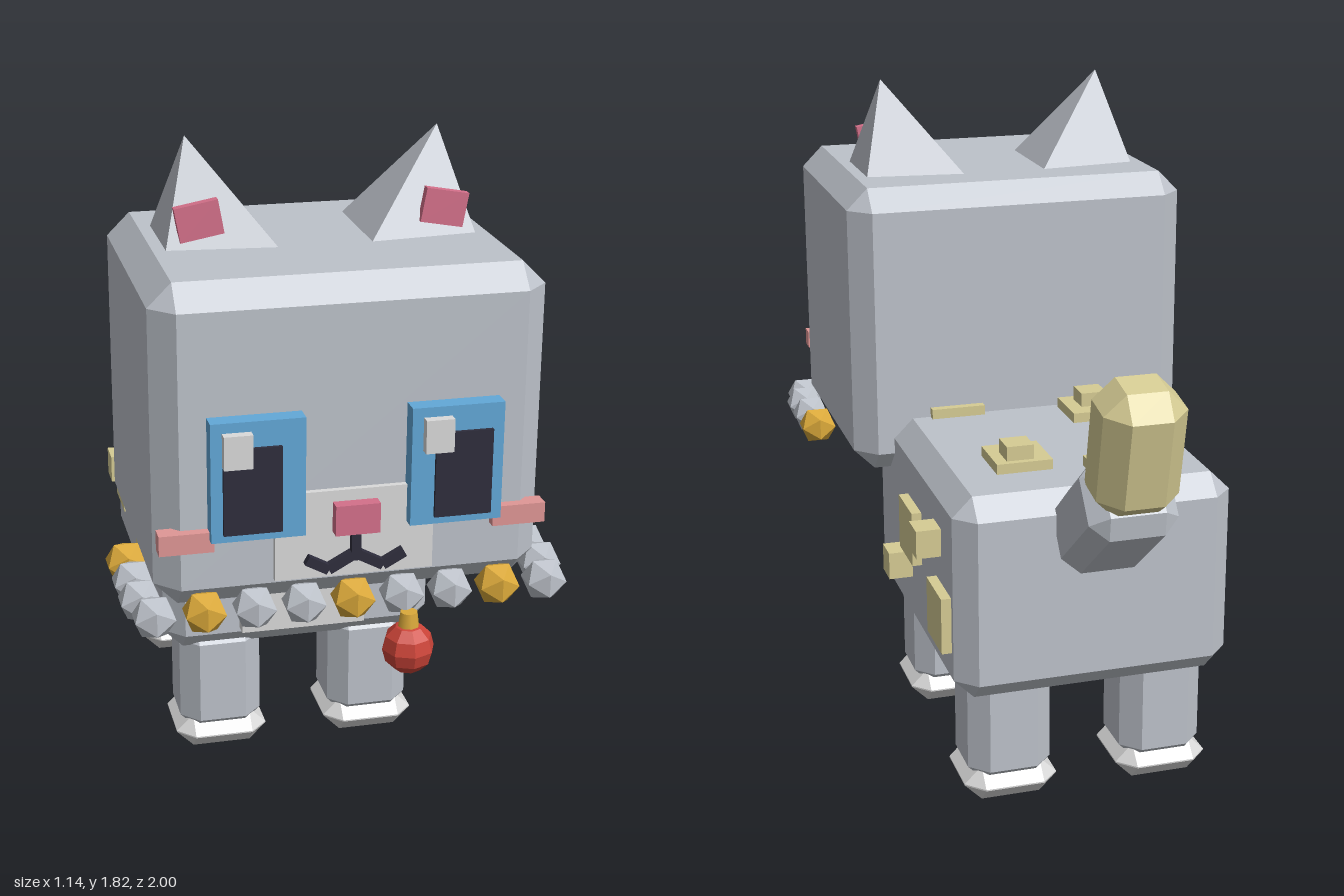
import * as THREE from 'three';
import { ConvexGeometry } from 'three/addons/geometries/ConvexGeometry.js';

const mat = (name, color) => {
  const m = new THREE.MeshStandardMaterial({ color });
  m.name = name;
  return m;
};

// Box with flat bevelled edges and corners
function bevelBox(w, h, d, c) {
  const pts = [];
  const x = w / 2, y = h / 2, z = d / 2;
  for (const i of [-1, 1]) for (const j of [-1, 1]) for (const k of [-1, 1]) {
    pts.push(new THREE.Vector3(i * x, j * (y - c), k * (z - c)));
    pts.push(new THREE.Vector3(i * (x - c), j * y, k * (z - c)));
    pts.push(new THREE.Vector3(i * (x - c), j * (y - c), k * z));
  }
  return new ConvexGeometry(pts);
}

export function createModel() {
  const group = new THREE.Group();
  group.name = 'cat';
  const grey = mat('grey fur', 0xbdc2ca);
  const white = mat('pale fur', 0xdadada);
  const tan = mat('tan spots', 0xd6cc94);
  const pink = mat('pink', 0xd4708a);
  const blush = mat('blush', 0xe09796);
  const blue = mat('eye blue', 0x62a8d8);
  const black = mat('black', 0x2e2d3c);
  const gold = mat('gold', 0xdba93a);
  const red = mat('bell red', 0xcc4438);

  const add = (name, geo, material, x, y, z) => {
    const m = new THREE.Mesh(geo, material);
    m.name = name;
    m.position.set(x, y, z);
    group.add(m);
    return m;
  };
  // Plain box given by its min and max on each axis
  const span = (name, material, x0, x1, y0, y1, z0, z1) =>
    add(name, new THREE.BoxGeometry(x1 - x0, y1 - y0, z1 - z0), material,
      (x0 + x1) / 2, (y0 + y1) / 2, (z0 + z1) / 2);

  // Body, chest and head
  add('body', bevelBox(0.765, 0.57, 0.935, 0.055), grey, 0, 0.615, -0.152);
  span('chest', white, -0.175, 0.175, 0.4, 0.8, 0.29, 0.355);
  add('head', bevelBox(0.98, 0.825, 0.785, 0.06), grey, 0, 1.152, 0.477);

  // Legs and paws
  for (const s of [-1, 1]) for (const z of [0.167, -0.447]) {
    add('leg', bevelBox(0.232, 0.34, 0.232, 0.05), grey, s * 0.217, 0.215, z);
    add('paw', bevelBox(0.26, 0.1, 0.26, 0.048), white, s * 0.217, 0.05, z);
  }

  // Tail in two angled segments
  add('tailBase', bevelBox(0.235, 0.37, 0.215, 0.045), grey, 0, 0.876, -0.729).rotation.x = -0.9;
  add('tailTip', bevelBox(0.215, 0.345, 0.2, 0.055), tan, 0, 1.11, -0.879).rotation.x = -0.2;

  // Ears: pyramids leaning outward, with pink plates in front
  for (const s of [-1, 1]) {
    const ear = [[0.4, 1.555, 0.29], [0.4, 1.555, 0.545], [0.113, 1.555, 0.573],
      [0.113, 1.555, 0.257], [0.326, 1.822, 0.417]];
    add('ear', new ConvexGeometry(ear.map(p => new THREE.Vector3(s * p[0], p[1], p[2]))), grey, 0, 0, 0);
    add('innerEar', new THREE.BoxGeometry(0.112, 0.088, 0.025), pink, s * 0.314, 1.635, 0.533)
      .rotation.z = -s * 0.18;
  }

  // Eyes and cheeks
  for (const s of [-1, 1]) {
    const x = s * 0.247;
    span('eye', blue, x - 0.116, x + 0.116, 0.94, 1.245, 0.86, 0.917);
    span('pupil', black, s * 0.262 - 0.072, s * 0.262 + 0.072, 0.96, 1.18, 0.9, 0.926);
    span('eyeHighlight', white, x - 0.088, x - 0.017, 1.135, 1.22, 0.9, 0.942);
    span('cheek', blush, s * 0.419 - 0.068, s * 0.419 + 0.068, 0.908, 0.96, 0.85, 0.895);
  }

  // Muzzle, nose and mouth
  span('muzzle', white, -0.2, 0.2, 0.81, 1.037, 0.85, 0.885);
  span('nose', pink, -0.056, 0.056, 0.93, 1.008, 0.87, 0.918);
  span('mouthStem', black, -0.012, 0.012, 0.855, 0.935, 0.87, 0.905);
  for (const s of [-1, 1]) {
    add('mouthInner', new THREE.BoxGeometry(0.07, 0.025, 0.03), black, s * 0.038, 0.852, 0.89)
      .rotation.z = -s * 0.5;
    add('mouthOuter', new THREE.BoxGeometry(0.062, 0.025, 0.03), black, s * 0.096, 0.85, 0.89)
      .rotation.z = s * 0.5;
  }

  // Beaded collar: front row, then both sides
  const bead = new THREE.IcosahedronGeometry(0.059, 0);
  for (let i = -4; i <= 4; i++) {
    add('collarBead', bead, i % 3 === 0 ? gold : grey, i * 0.125, 0.742, 0.878);
  }
  for (const s of [-1, 1]) {
    [0.782, 0.672, 0.556].forEach((z, i) =>
      add('collarBead', bead, i === 2 ? gold : grey, s * 0.52, 0.745, z));
  }

  // Hanging bell
  const ball = new THREE.SphereGeometry(0.067, 8, 6).toNonIndexed();
  ball.computeVertexNormals();
  add('bell', ball, red, 0.128, 0.62, 0.936);
  add('bellCap', new THREE.CylinderGeometry(0.022, 0.028, 0.045, 8), gold, 0.128, 0.695, 0.936);

  // Raised spots on the back: x, z, size, bottom, top
  for (const [x, z, w, y0, y1] of [
    [-0.098, -0.503, 0.16, 0.88, 0.928], [0.145, -0.353, 0.155, 0.88, 0.928],
    [0.153, -0.375, 0.075, 0.9, 0.968], [-0.18, -0.01, 0.155, 0.88, 0.928],
    [-0.18, 0.002, 0.075, 0.9, 0.968], [0.197, 0.138, 0.155, 0.88, 0.928],
  ]) span('backSpot', tan, x - w / 2, x + w / 2, y0, y1, z - w / 2, z + w / 2);

  // Raised spots on the flanks: side, y, z, size, outer x
  for (const [s, y, z, w, out] of [
    [1, 0.657, -0.152, 0.155, 0.41], [1, 0.535, -0.073, 0.078, 0.45],
    [1, 0.733, -0.41, 0.078, 0.45], [1, 0.537, -0.47, 0.157, 0.41],
    [-1, 0.6, -0.353, 0.155, 0.41], [-1, 0.688, -0.255, 0.078, 0.452],
    [-1, 0.55, 0.038, 0.155, 0.41],
  ]) {
    add('flankSpot', new THREE.BoxGeometry(out - 0.37, w, w), tan, s * (out + 0.37) / 2, y, z);
  }

  return group;
}
